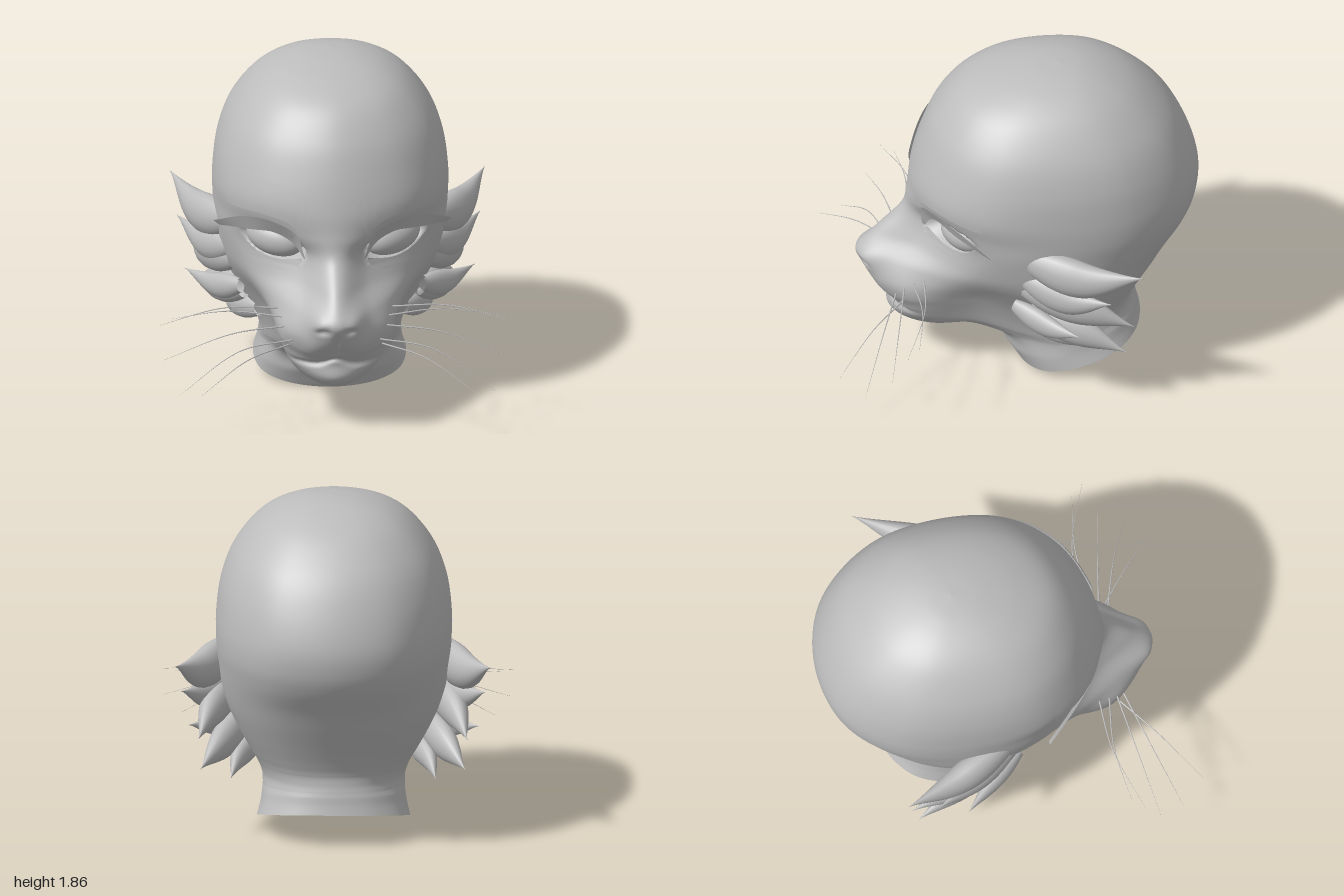
import * as THREE from 'three';

const V = (x, y, z) => new THREE.Vector3(x, y, z);
const { smoothstep } = THREE.MathUtils;
const grey = new THREE.MeshStandardMaterial({ color: 0xbcbcbc, side: THREE.DoubleSide });
grey.name = 'grey';

// Surface through a list of equal rings (closed around) or strips (open).
function loft(rings, closed = true) {
  const n = rings[0].length, index = [];
  for (let i = 0; i < rings.length - 1; i++) {
    for (let j = 0; j < (closed ? n : n - 1); j++) {
      const k = (j + 1) % n, a = i * n + j, b = i * n + k;
      index.push(a, a + n, b, b, a + n, b + n);
    }
  }
  const g = new THREE.BufferGeometry().setFromPoints(rings.flat());
  g.setIndex(index);
  g.computeVertexNormals();
  return g;
}

function mesh(name, geometry) {
  const m = new THREE.Mesh(geometry, grey);
  m.name = name;
  return m;
}

// Head sections, neck to crown: y, back z, widest z, half width, cheek x z, muzzle x z, front z
const FACE = [
  [0.175, -0.66, -0.28, 0.383, 0.30, -0.02, 0.15, 0.10, 0.15],
  [0.205, -0.656, -0.26, 0.381, 0.28, 0.08, 0.15, 0.32, 0.46],
  [0.235, -0.652, -0.24, 0.38, 0.27, 0.20, 0.19, 0.46, 0.60],
  [0.30, -0.645, -0.21, 0.385, 0.28, 0.28, 0.23, 0.53, 0.66],
  [0.39, -0.645, -0.19, 0.415, 0.31, 0.31, 0.26, 0.56, 0.675],
  [0.46, -0.67, -0.18, 0.455, 0.335, 0.31, 0.27, 0.60, 0.72],
  [0.56, -0.72, -0.17, 0.51, 0.375, 0.30, 0.25, 0.64, 0.80],
  [0.68, -0.785, -0.16, 0.565, 0.425, 0.27, 0.195, 0.64, 0.825],
  [0.80, -0.85, -0.16, 0.60, 0.48, 0.22, 0.18, 0.52, 0.73],
  [0.94, -0.94, -0.17, 0.62, 0.53, 0.18, 0.19, 0.45, 0.60],
  [1.06, -0.985, -0.20, 0.63, 0.55, 0.18, 0.30, 0.44, 0.57],
];
const oval = (y, zb, zw, w, zf) =>
  [y, zb, zw, w, w * 0.9, zw + (zf - zw) * 0.52, w * 0.58, zw + (zf - zw) * 0.85, zf];
const SECTIONS = [
  oval(0, -0.68, -0.33, 0.41, 0), oval(0.10, -0.667, -0.30, 0.392, 0.06), ...FACE,
  oval(1.20, -0.99, -0.20, 0.63, 0.55), oval(1.38, -0.935, -0.21, 0.605, 0.50),
  oval(1.55, -0.84, -0.22, 0.54, 0.425), oval(1.70, -0.69, -0.23, 0.425, 0.30),
  oval(1.79, -0.54, -0.24, 0.30, 0.12), oval(1.84, -0.39, -0.25, 0.15, -0.08),
  oval(1.855, -0.25, -0.25, 0, -0.25),
];

function spline(a, b, c, d, t) {
  const m = (c - a) / 2, n = (d - b) / 2;
  return b + m * t + (3 * (c - b) - 2 * m - n) * t * t + (2 * (b - c) + m + n) * t ** 3;
}

function sectionRing([y, zb, zw, w, xc, zc, xm, zm, zf], count) {
  const side = [[0.53 * w, zw + (zb - zw) * 0.885], [0.885 * w, zw + (zb - zw) * 0.53], [w, zw], [xc, zc], [xm, zm]];
  const pts = [V(0, y, zb), ...side.map(([x, z]) => V(x, y, z)), V(0, y, zf),
    ...side.reverse().map(([x, z]) => V(-x, y, z))];
  const curve = new THREE.CatmullRomCurve3(pts, true);
  const jaw = smoothstep(y, 0.08, 0.22) * (1 - smoothstep(y, 0.2, 0.8));
  return Array.from({ length: count }, (_, j) => {
    const p = curve.getPoint(j / count);
    p.y -= Math.max(0, 1 - 2.5 * y) * 0.28 * Math.min(p.z, 0); // slanted neck
    p.y += jaw * (1.1 * p.x * p.x * smoothstep(p.z, -0.25, 0.25)  // rounded jaw underside
      + 0.025 * Math.exp(-(((p.z - 0.25) / 0.13) ** 2)));
    return p;
  });
}

function headRings(steps, count) {
  const rings = [], last = SECTIONS.length - 1;
  for (let s = 0; s <= last * steps; s++) {
    const i = Math.min(Math.floor(s / steps), last - 1), t = s / steps - i;
    const at = (k) => SECTIONS[Math.min(Math.max(k, 0), last)];
    rings.push(sectionRing(at(i).map((b, k) => spline(at(i - 1)[k], b, at(i + 1)[k], at(i + 2)[k], t)), count));
  }
  return rings;
}

// Carves eye sockets, nose, nostrils and mouth into a head point.
function carve(p) {
  if (p.z < 0.1 || p.y < 0.2) return;
  const { x, y } = p, ax = Math.abs(x), s = Math.sign(x);
  const bump = (cx, cy, rx, ry) => Math.exp(-(((ax - cx) / rx) ** 2) - ((y - cy) / ry) ** 2);
  const dx = ax - 0.325, dy = y - 0.98 - 0.2 * dx;
  const eye = 1 - smoothstep((dx / 0.16) ** 2 + (dy / 0.085) ** 2, 0.5, 1.3);
  p.x -= s * 0.045 * eye;
  p.z -= 0.08 * eye;
  if (p.z < 0.35) return;
  p.z += 0.035 * bump(0.1, 0.66, 0.055, 0.06) + 0.015 * bump(0, 0.65, 0.06, 0.05);
  p.z -= 0.03 * bump(0.075, 0.62, 0.035, 0.018) + 0.015 * bump(0, 0.53, 0.015, 0.05);
  p.z += 0.02 * bump(0.13, 0.48, 0.08, 0.06) + 0.015 * bump(0, 0.3, 0.17, 0.06);
  const mouth = 0.38 + 0.04 * Math.exp(-((x / 0.07) ** 2)) + 2.5 * Math.max(0, ax - 0.2) ** 2;
  const crease = Math.exp(-(((y - mouth) / 0.014) ** 2)) * (1 - smoothstep(ax, 0.17, 0.31));
  p.z -= 0.022 * crease;
}

// Tapered strand along a bent path: a fur tuft or a whisker.
function strand([base, mid, tip], height, thick, profile, steps, sides) {
  const curve = new THREE.CatmullRomCurve3([V(...base), V(...mid), V(...tip)]);
  const rings = [], up = V(0, 1, 0);
  for (let i = 0; i <= steps; i++) {
    const t = i / steps, c = curve.getPoint(t), T = curve.getTangent(t), w = profile(t);
    const A = T.clone().cross(up).normalize(), B = A.clone().cross(T).normalize();
    rings.push(Array.from({ length: sides }, (_, j) => {
      const a = (j / sides) * Math.PI * 2;
      return c.clone().addScaledVector(A, Math.cos(a) * thick * w).addScaledVector(B, Math.sin(a) * height * w);
    }));
  }
  return loft(rings);
}

// Thin patch between two curves; place() may lay its points on the face.
function patch(lower, upper, place) {
  const curves = [lower, upper].map((l) => new THREE.CatmullRomCurve3(l.map(([x, y, z = 0]) => V(x, y, z))));
  const rows = [];
  for (let i = 5; i >= 0; i--) {
    rows.push(Array.from({ length: 29 }, (_, j) =>
      place(curves[0].getPoint(j / 28).lerp(curves[1].getPoint(j / 28), i / 5))));
  }
  return loft(rows, false);
}

const TUFTS = [ // base, middle, tip, half height
  [[0.55, 0.95, -0.03], [0.70, 0.905, -0.33], [0.845, 1.01, -0.64], 0.115],
  [[0.54, 0.81, -0.02], [0.67, 0.75, -0.25], [0.815, 0.82, -0.47], 0.09],
  [[0.52, 0.74, -0.02], [0.65, 0.675, -0.32], [0.72, 0.59, -0.60], 0.105],
  [[0.49, 0.60, 0.03], [0.62, 0.545, -0.14], [0.78, 0.58, -0.30], 0.07],
  [[0.47, 0.56, -0.04], [0.60, 0.485, -0.32], [0.71, 0.41, -0.56], 0.10],
  [[0.39, 0.44, -0.04], [0.50, 0.40, -0.25], [0.55, 0.33, -0.47], 0.075],
];
const WHISKERS = [
  [[0.30, 0.65, 0.50], [0.60, 0.66, 0.52], [0.95, 0.61, 0.64]],
  [[0.27, 0.62, 0.56], [0.58, 0.645, 0.53], [0.88, 0.62, 0.57]],
  [[0.25, 0.585, 0.60], [0.56, 0.56, 0.65], [0.93, 0.44, 0.72]],
  [[0.22, 0.52, 0.64], [0.52, 0.49, 0.73], [0.85, 0.29, 0.86]],
  [[0.24, 0.48, 0.60], [0.48, 0.46, 0.79], [0.73, 0.34, 0.99]],
];

export function createModel() {
  const model = new THREE.Group();
  model.name = 'catHead';

  // Smooth head, used to lay the thin plates on
  const ray = new THREE.Raycaster();
  const guide = new THREE.Mesh(loft(headRings(4, 144)), grey);
  const onFace = (p) => {
    ray.set(V(p.x, p.y, 3), V(0, 0, -1));
    const hit = ray.intersectObject(guide)[0];
    return hit.point.addScaledVector(hit.face.normal, 0.012);
  };

  // Head with carved features, and the recessed floor of the neck
  const rings = headRings(8, 240);
  const floor = loft([
    rings[0].map(() => V(0, 0.12, -0.33)),
    rings[0].map((p) => V(p.x * 0.94, p.y + 0.02 + 0.06 * (p.z + 0.68) / 0.68, -0.33 + (p.z + 0.33) * 0.95)),
  ]);
  rings.flat().forEach(carve);
  model.add(mesh('head', loft(rings)), mesh('neckFloor', floor));

  // One side of the face, then its mirror
  const half = new THREE.Group();
  half.name = 'leftSide';
  const eye = mesh('eyeball', new THREE.SphereGeometry(1, 40, 28));
  eye.scale.set(0.17, 0.1, 0.10);
  eye.rotation.set(0, 0.6, 0.15);
  eye.position.set(0.315, 0.975, 0.28);
  half.add(eye);
  half.add(mesh('eyebrow', patch(
    [[0.17, 1.06], [0.25, 1.14], [0.40, 1.165], [0.56, 1.15]],
    [[0.115, 1.24], [0.19, 1.30], [0.36, 1.34], [0.55, 1.31]], onFace)));
  half.add(mesh('upperEyelid', patch(
    [[0.165, 0.92, 0.485], [0.22, 1.00, 0.46], [0.32, 1.05, 0.42], [0.44, 1.04, 0.34], [0.61, 1.005, 0.17]],
    [[0.16, 0.93, 0.50], [0.21, 1.07, 0.51], [0.34, 1.13, 0.46], [0.48, 1.12, 0.35], [0.64, 1.03, 0.17]], (p) => p)));
  half.add(mesh('lowerEyelid', patch(
    [[0.165, 0.90], [0.22, 0.85], [0.33, 0.835], [0.46, 0.87], [0.545, 1.0]],
    [[0.17, 0.92], [0.25, 0.895], [0.33, 0.89], [0.42, 0.92], [0.50, 1.0]], onFace)));
  for (const [base, mid, tip, h] of TUFTS) {
    half.add(mesh('cheekTuft', strand([base, mid, tip], h, h * 0.7,
      (t) => Math.max(0, Math.sin(Math.PI * (0.22 + 0.78 * t))) ** 1.35, 20, 18)));
  }
  for (const path of WHISKERS) {
    half.add(mesh('whisker', strand(path, 0.005, 0.005, (t) => 1 - 0.9 * t, 20, 6)));
  }
  const mirror = half.clone();
  mirror.name = 'rightSide';
  mirror.scale.x = -1;
  model.add(half, mirror);
  return model;
}
